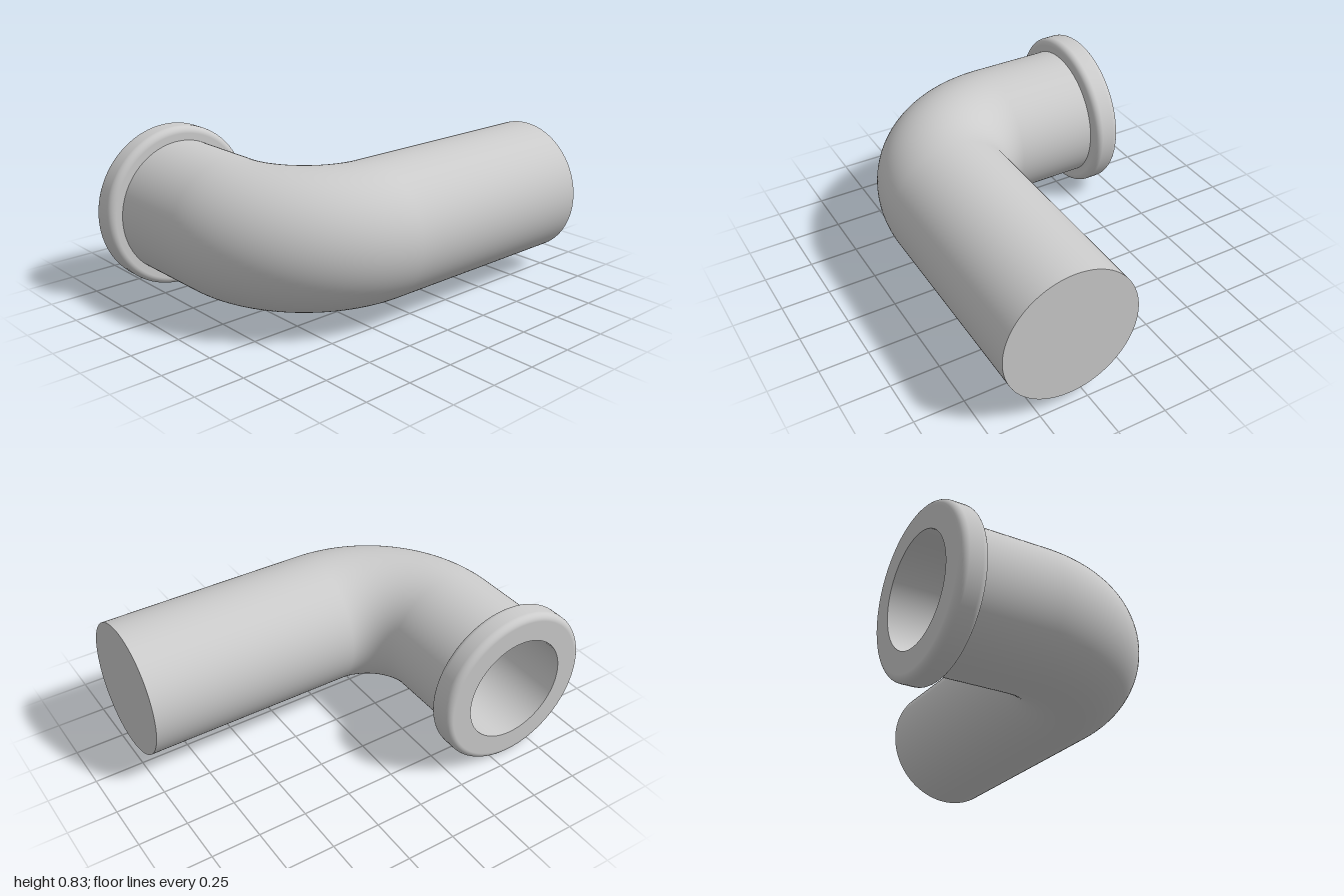
import * as THREE from 'three';

const OUTER = 0.343, BORE = 0.274;          // pipe radii
const AX = -0.59, AY = 0.414, AZ = 0.343;   // axes of the short and long legs
const BEND = 0.483;                         // bend radius of the centre line
const CX = AX + BEND, CZ = AZ - BEND;       // bend centre
const BACK = -0.69, FLANGE_DEPTH = 0.135, FLANGE_R = 0.413;

export function createModel() {
  const model = new THREE.Group();
  const grey = new THREE.MeshStandardMaterial({ color: 0xcccccc });
  const inside = new THREE.MeshStandardMaterial({ color: 0xcccccc, side: THREE.DoubleSide });

  const add = (parent, name, geometry, material, x, z) => {
    const mesh = new THREE.Mesh(geometry, material);
    mesh.name = name;
    mesh.position.set(x, AY, z);
    parent.add(mesh);
  };

  // One elbow-shaped surface: short leg, quarter bend, long leg and end disc
  const addElbow = (name, r, endX, startZ, material) => {
    const elbow = new THREE.Group();
    elbow.name = name;
    const shortLen = CZ - startZ, longLen = endX - CX;
    add(elbow, 'shortLeg', new THREE.CylinderGeometry(r, r, shortLen, 96, 1, true).rotateX(Math.PI / 2),
      material, AX, startZ + shortLen / 2);
    add(elbow, 'bend', new THREE.TorusGeometry(BEND, r, 96, 48, Math.PI / 2).rotateX(Math.PI / 2).rotateY(-Math.PI / 2),
      material, CX, CZ);
    add(elbow, 'longLeg', new THREE.CylinderGeometry(r, r, longLen, 96, 1, true).rotateZ(Math.PI / 2),
      material, CX + longLen / 2, AZ);
    add(elbow, 'endDisc', new THREE.CircleGeometry(r, 96).rotateY(Math.PI / 2), material, endX, AZ);
    model.add(elbow);
  };
  addElbow('pipe', OUTER, 1, BACK + FLANGE_DEPTH / 2, grey);
  addElbow('bore', BORE, 0.93, BACK, inside);

  // Rounded flange around the open end
  const fillet = 0.035, profile = [new THREE.Vector2(BORE, 0)];
  for (const [cy, start] of [[fillet, -Math.PI / 2], [FLANGE_DEPTH - fillet, 0]]) {
    for (let i = 0; i <= 8; i++) {
      const a = start + (i / 8) * Math.PI / 2;
      profile.push(new THREE.Vector2(FLANGE_R - fillet + fillet * Math.cos(a), cy + fillet * Math.sin(a)));
    }
  }
  profile.push(new THREE.Vector2(BORE, FLANGE_DEPTH));
  add(model, 'flange', new THREE.LatheGeometry(profile, 96).rotateX(-Math.PI / 2), grey, AX, BACK + FLANGE_DEPTH);

  return model;
}
